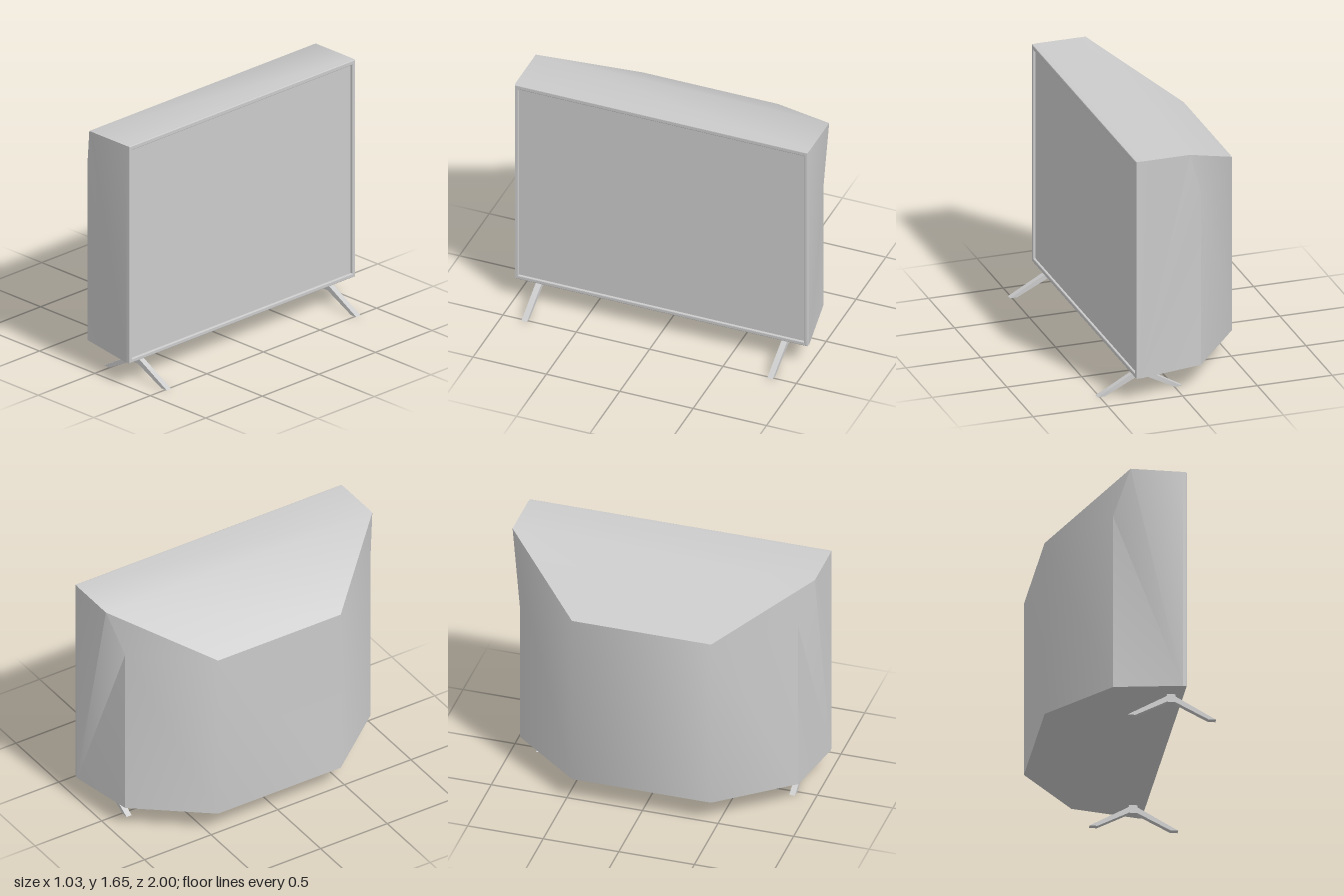
import * as THREE from 'three';
import { toCreasedNormals } from 'three/addons/utils/BufferGeometryUtils.js';

const material = new THREE.MeshStandardMaterial({ color: 0xcccccc });

function addMesh(group, name, geometry) {
  const mesh = new THREE.Mesh(geometry, material);
  mesh.name = name;
  group.add(mesh);
  return mesh;
}

// Housing: corners of the +z half, mirrored to the other half
function housingGeometry() {
  const corners = {
    A: [0.285, 0.16, 1], B: [0.285, 1.65, 1], C: [-0.05, 1.65, 1],
    D: [-0.15, 1.35, 0.92], E: [-0.15, 0.16, 0.92],
    F: [-0.52, 1.35, 0.46], G: [-0.52, 0.16, 0.46],
  };
  // Lower case letters are the mirrored corners
  for (const k of Object.keys(corners)) {
    const [x, y, z] = corners[k];
    corners[k.toLowerCase()] = [x, y, -z];
  }
  const halfFaces = ['ABCDE', 'EDFG', 'DCF'];
  const mirrored = halfFaces.map((f) => [...f.toLowerCase()].reverse().join(''));
  // Side, rear chamfer and slope corner, then back, slope, top, bottom, front
  const faces = [...halfFaces, ...mirrored, 'GFfg', 'FCcf', 'CBbc', 'AEGgea', 'AabB'];
  // Keep the mirrored side split from the same corner as the other one
  faces[3] = 'aedcb';
  const positions = [];
  for (const face of faces) {
    for (let i = 1; i < face.length - 1; i++) {
      positions.push(...corners[face[0]], ...corners[face[i]], ...corners[face[i + 1]]);
    }
  }
  const geometry = new THREE.BufferGeometry();
  geometry.setAttribute('position', new THREE.Float32BufferAttribute(positions, 3));
  return toCreasedNormals(geometry, 0.69);
}

function rectangle(path, halfWidth, bottom, top) {
  path.moveTo(-halfWidth, bottom);
  path.lineTo(halfWidth, bottom);
  path.lineTo(halfWidth, top);
  path.lineTo(-halfWidth, top);
  path.closePath();
  return path;
}

// Bezel: softly bevelled frame around the screen
function bezelGeometry() {
  const shape = rectangle(new THREE.Shape(), 0.998, 0.16, 1.65);
  shape.holes.push(rectangle(new THREE.Path(), 0.972, 0.187, 1.62));
  const geometry = new THREE.ExtrudeGeometry(shape, {
    depth: 0.025, bevelThickness: 0.005, bevelSize: 0.005, bevelOffset: -0.005, bevelSegments: 2,
  });
  return geometry.rotateY(Math.PI / 2).translate(0.28, 0, 0);
}

// Foot: splayed two-legged profile
function footGeometry() {
  const profile = [
    [-0.05, 0], [0, 0], [0.2, 0.105], [0.255, 0.105], [0.465, 0], [0.515, 0],
    [0.255, 0.145], [0.255, 0.165], [0.2, 0.165], [0.2, 0.145],
  ].map(([x, y]) => new THREE.Vector2(x, y));
  const geometry = new THREE.ExtrudeGeometry(new THREE.Shape(profile), {
    depth: 0.038, bevelEnabled: false,
  });
  return geometry.translate(0, 0, -0.019);
}

export function createModel() {
  const model = new THREE.Group();
  model.name = 'television';

  addMesh(model, 'housing', housingGeometry());
  addMesh(model, 'bezel', bezelGeometry());

  // Recessed screen panel
  const screen = addMesh(model, 'screen', new THREE.BoxGeometry(0.02, 1.45, 1.96));
  screen.position.set(0.285, 0.9035, 0);

  const foot = footGeometry();
  for (const [name, z] of [['footNear', 0.849], ['footFar', -0.826]]) {
    addMesh(model, name, foot).position.z = z;
  }
  return model;
}
